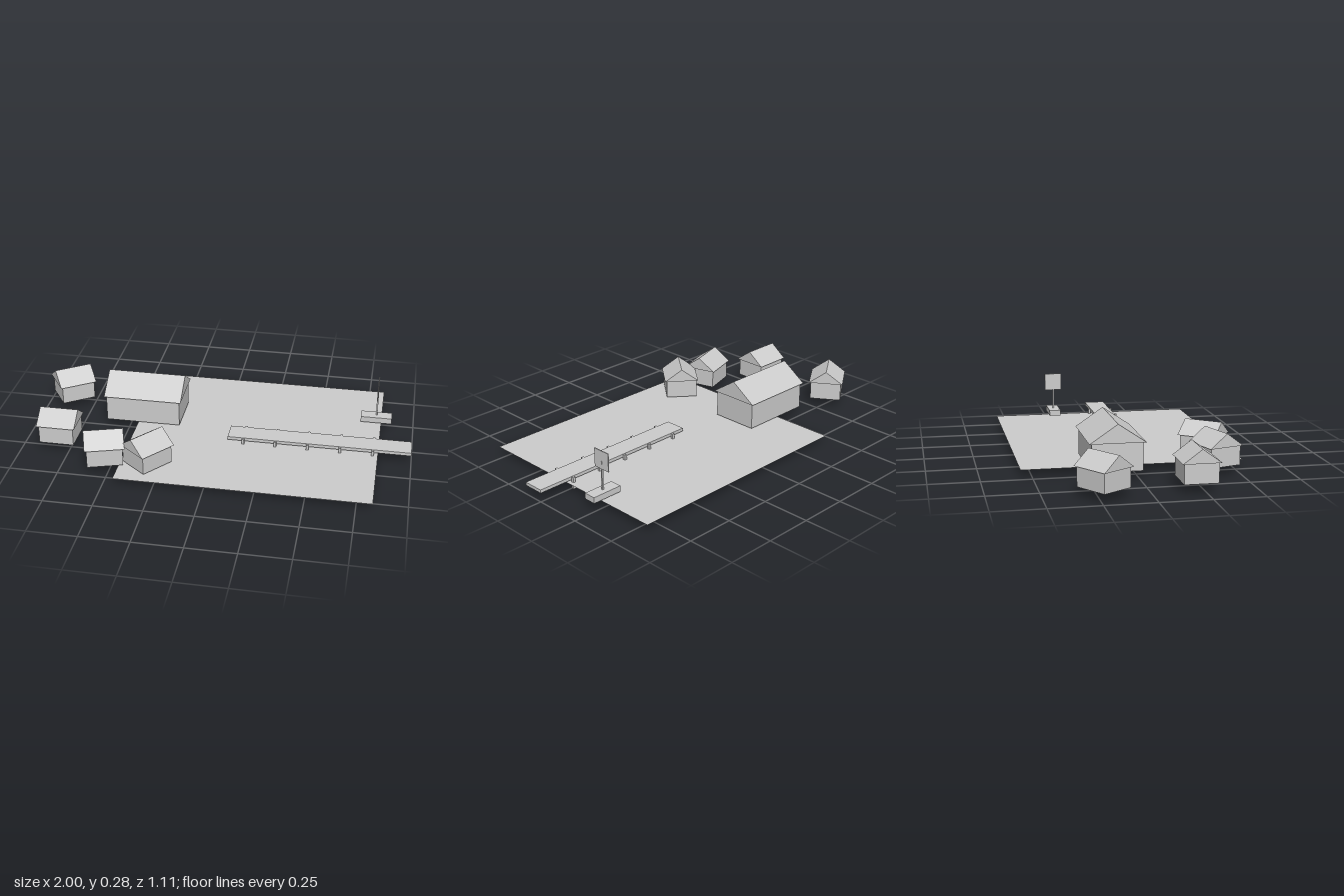
import * as THREE from 'three';

const material = new THREE.MeshStandardMaterial({ color: 0xcccccc, flatShading: true });
const BASE = 0.046;

// Box given by its size and centre
function box(name, w, h, d, x, y, z) {
  const mesh = new THREE.Mesh(new THREE.BoxGeometry(w, h, d), material);
  mesh.name = name;
  mesh.position.set(x, y, z);
  return mesh;
}

// Walls plus an overhanging triangular roof, ridge along local x
function house(name, { x, z, turn = 0, length, depth, wall, rise, overX, overZ }) {
  const group = new THREE.Group();
  group.name = name;
  group.add(box('walls', length, wall, depth, 0, wall / 2, 0));

  const half = depth / 2 + overZ;
  const roofLength = length + overX * 2;
  const gable = new THREE.Shape([
    new THREE.Vector2(-half, 0),
    new THREE.Vector2(half, 0),
    new THREE.Vector2(0, rise),
  ]);
  const geometry = new THREE.ExtrudeGeometry(gable, { depth: roofLength, bevelEnabled: false });
  geometry.translate(0, 0, -roofLength / 2).rotateY(Math.PI / 2);
  const roof = new THREE.Mesh(geometry, material);
  roof.name = 'roof';
  roof.position.y = wall;
  group.add(roof);

  group.position.set(x, BASE, z);
  group.rotation.y = turn;
  return group;
}

export function createModel() {
  const model = new THREE.Group();
  model.name = 'dockVillage';

  // Flat water sheet
  const water = new THREE.Mesh(
    new THREE.PlaneGeometry(1.28, 1.108).rotateX(-Math.PI / 2),
    new THREE.MeshStandardMaterial({ color: 0xcccccc, side: THREE.DoubleSide })
  );
  water.name = 'water';
  water.position.set(0.19, 0.034, 0);
  model.add(water);

  // Large hall
  model.add(house('hall', {
    x: -0.419, z: -0.111, length: 0.392, depth: 0.25,
    wall: 0.14, rise: 0.093, overX: 0.01, overZ: 0.0125,
  }));

  // Four matching huts: x, z, turn
  const huts = [
    [-0.866, -0.224, 0.59],
    [-0.81, 0.222, 0],
    [-0.532, 0.39, 0.3],
    [-0.31, 0.387, 0.89],
  ];
  huts.forEach(([x, z, turn], i) => model.add(house(`hut${i + 1}`, {
    x, z, turn, length: 0.18, depth: 0.165,
    wall: 0.097, rise: 0.068, overX: 0.01, overZ: 0.01,
  })));

  // Dock deck on five pairs of posts
  const dock = new THREE.Group();
  dock.name = 'dock';
  dock.add(box('deck', 0.945, 0.017, 0.111, 0.5255, 0.0545, 0.0555));
  for (let i = 0; i < 5; i++) {
    for (const z of [-0.007, 0.119]) {
      dock.add(box('post', 0.013, 0.061, 0.013, 0.135 + i * 0.167, 0.0305, z));
    }
  }
  model.add(dock);

  // Small float carrying a sign on a pole
  const marker = new THREE.Group();
  marker.name = 'signFloat';
  marker.add(
    box('float', 0.163, 0.031, 0.064, 0.803, 0.0615, -0.222),
    box('pole', 0.008, 0.15, 0.008, 0.803, 0.152, -0.222),
    box('signBoard', 0.005, 0.095, 0.096, 0.803, 0.2325, -0.222)
  );
  model.add(marker);

  return model;
}
